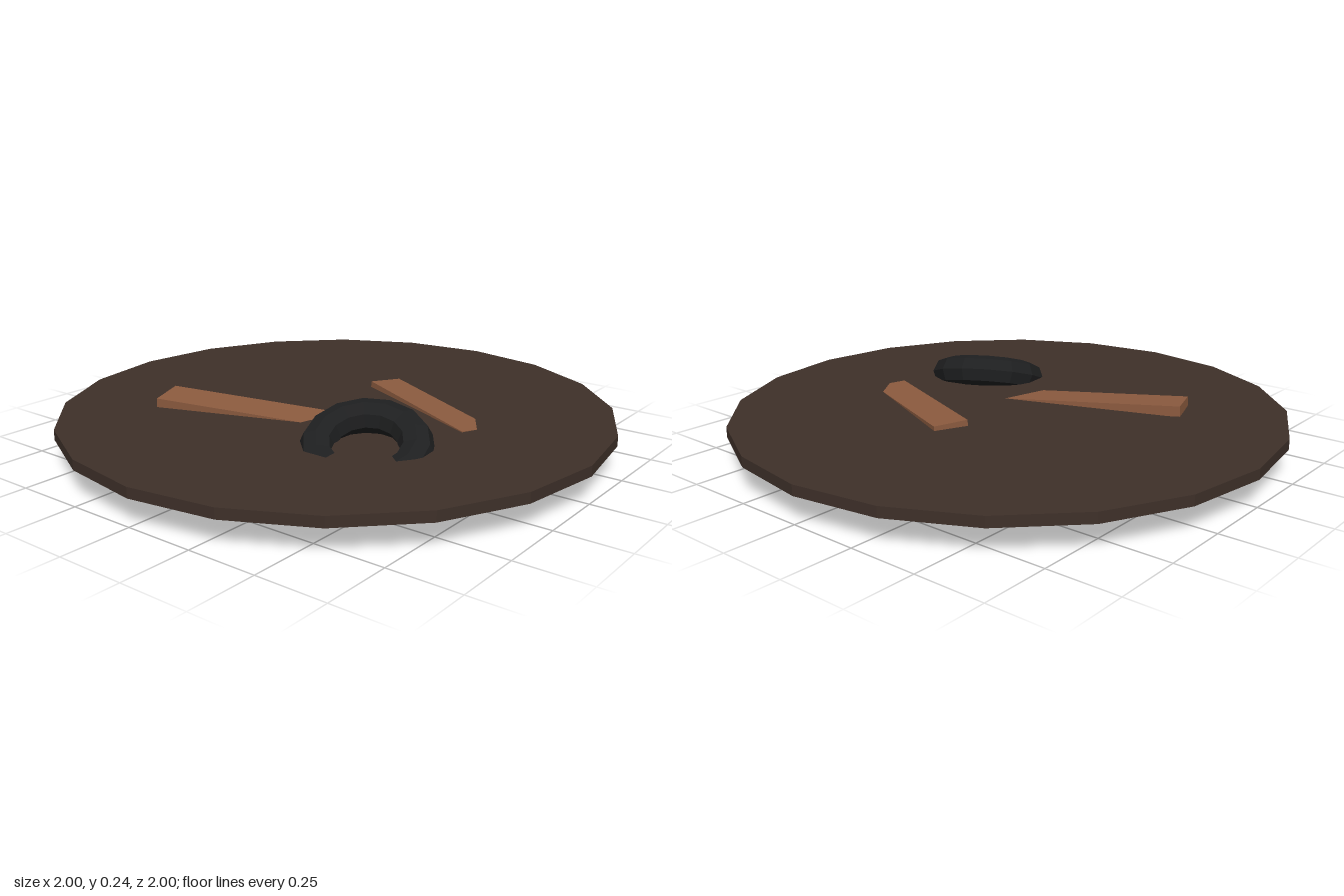
import * as THREE from 'three';

const mat = (name, color) => {
  const m = new THREE.MeshStandardMaterial({ color, flatShading: true });
  m.name = name;
  return m;
};

export function createModel() {
  const mud = mat('dark mud', 0x3e3029);
  const wood = mat('weathered wood', 0x8c5b3f);
  const rubber = mat('black rubber', 0x1e1f20);

  const model = new THREE.Group();
  model.name = 'debrisPatch';

  const add = (name, geometry, material, position) => {
    const mesh = new THREE.Mesh(geometry, material);
    mesh.name = name;
    mesh.position.set(...position);
    model.add(mesh);
    return mesh;
  };

  // Thin twenty-sided disc of ground
  add('groundDisc', new THREE.CylinderGeometry(1, 1, 0.037, 20), mud, [0, 0.1175, 0]);

  // Planks half sunk into the disc: yaw, then pitch along the length, then roll
  const addPlank = (name, length, width, position, yaw, pitch, roll) => {
    const plank = add(name, new THREE.BoxGeometry(length, 0.037, width), wood, position);
    plank.rotation.set(roll, yaw, pitch, 'YZX');
  };
  addPlank('frontPlank', 0.73, 0.15, [-0.183, 0.132, 0.225], 0.343, -0.06, 0.04);
  addPlank('backPlank', 0.613, 0.125, [0.265, 0.127, -0.202], -0.42, -0.031, -0.049);

  // Tilted tyre, its lower edge sunk through the disc
  const ring = new THREE.TorusGeometry(0.165, 0.061, 8, 14).rotateX(-Math.PI / 2);
  const tyre = add('tyre', ring, rubber, [0.342, 0.125, 0.28]);
  tyre.quaternion.setFromUnitVectors(
    new THREE.Vector3(0, 1, 0),
    new THREE.Vector3(0.2, 1, 0.36).normalize()
  );

  return model;
}
